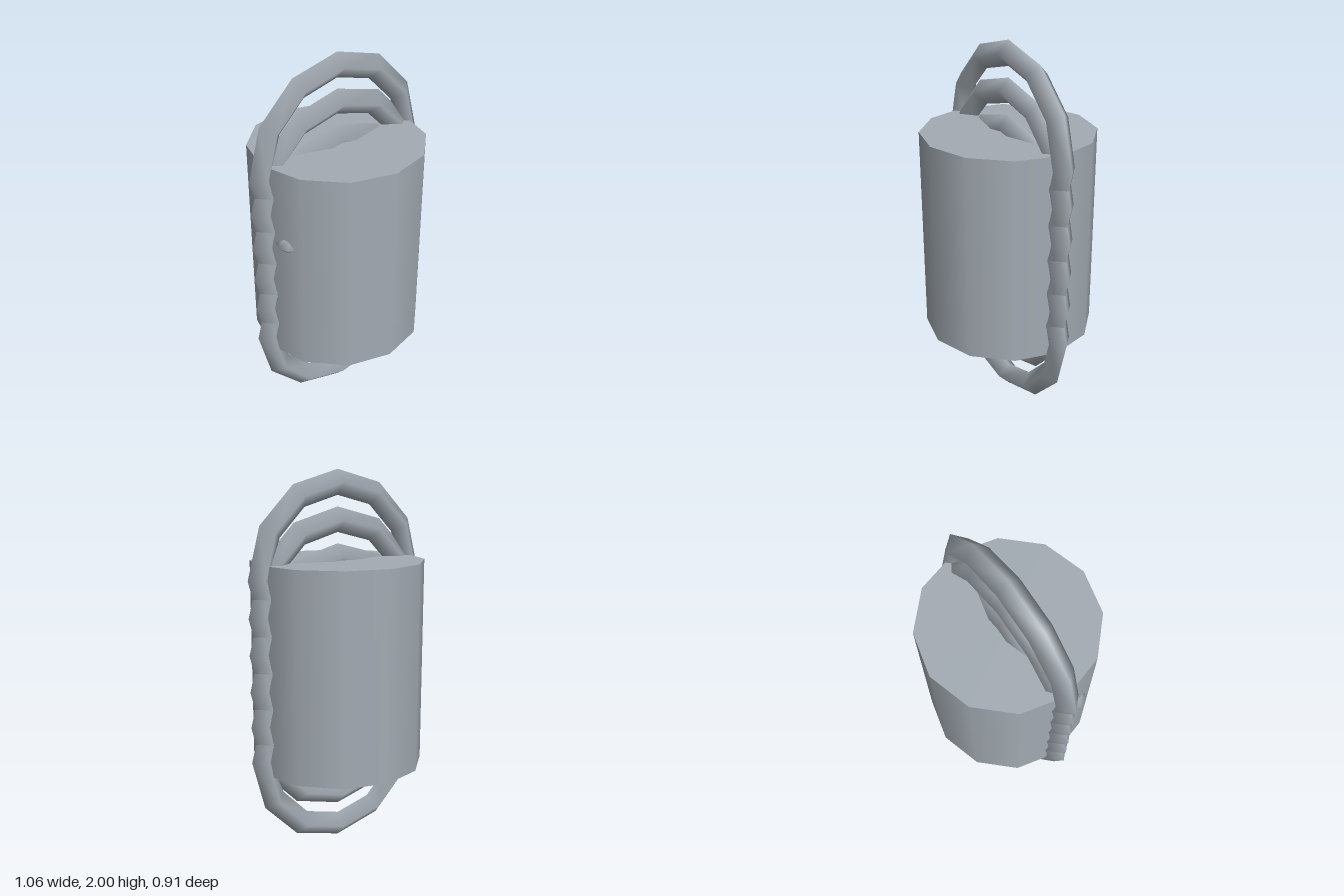
import * as THREE from 'three';

export function createModel() {
  const group = new THREE.Group();
  const steel = new THREE.MeshStandardMaterial({ color: 0xa3abb3 });

  const add = (name, geometry, x, y, z) => {
    const mesh = new THREE.Mesh(geometry, steel);
    mesh.name = name;
    mesh.position.set(x, y, z);
    group.add(mesh);
    return mesh;
  };

  // Twelve-sided drum
  add('drum', new THREE.CylinderGeometry(0.455, 0.455, 1.09, 12), 0, 0.995, 0);

  // Stack of upright rings threaded through the drum
  const ringGeometry = new THREE.TorusGeometry(0.465, 0.065, 4, 12);
  const ringCount = 6;
  for (let i = 0; i < ringCount; i++) {
    add(`ring${i + 1}`, ringGeometry, 0, 0.53 + (i * 0.94) / (ringCount - 1), 0);
  }

  // Small ring half sunk in the drum wall
  const knob = add('sideKnob', new THREE.TorusGeometry(0.035, 0.035, 4, 8), -0.388, 1.135, 0.12);
  knob.rotation.x = Math.PI / 2;

  return group;
}
